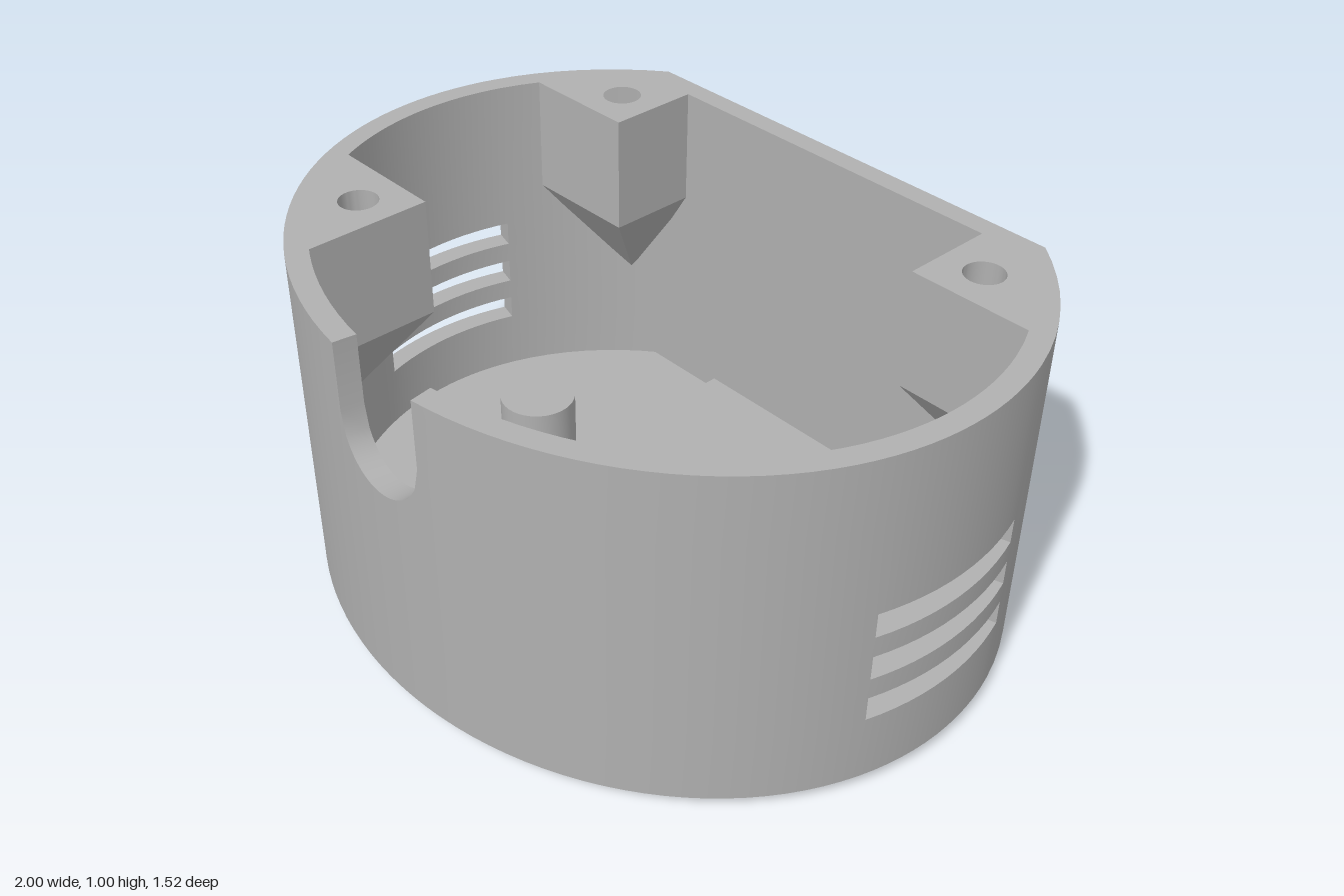
import * as THREE from 'three';
import { toCreasedNormals } from 'three/addons/utils/BufferGeometryUtils.js';
import { ConvexGeometry } from 'three/addons/geometries/ConvexGeometry.js';

const ZC = -0.11, A = 1, B = 0.87, FLAT = 0.65, WALL = 0.06; // oval outline cut by a flat back
const END = Math.acos(-FLAT / B);      // angle where the oval meets the flat back
const BACK_X = Math.sin(END);          // half width of the flat back

// point on the oval, inset by d, angle measured from the front towards +x
const oval = (phi, y, d) => [(A - d) * Math.sin(phi), y, ZC + (B - d) * Math.cos(phi)];

function quadGeometry(quads) {
  const geo = new THREE.BufferGeometry();
  const pos = quads.flatMap(([a, b, c, d]) => [...a, ...b, ...c, ...a, ...c, ...d]);
  geo.setAttribute('position', new THREE.Float32BufferAttribute(pos, 3));
  geo.computeVertexNormals();
  return geo;
}

// shape drawn in (x, -z), raised from y0 to y1
function extrudeUp(shape, y0, y1) {
  return new THREE.ExtrudeGeometry(shape, { depth: y1 - y0, bevelEnabled: false, curveSegments: 24 })
    .rotateX(-Math.PI / 2).translate(0, y0, 0);
}

const circlePath = (x, z, r) => new THREE.Path().absarc(x, -z, r, 0, Math.PI * 2, true);

// curved wall: a bent grid of cells, with the vent and notch cells left out
function wallGeometry() {
  const notchR = 0.147, notchY = 0.812;
  const notchA = Math.asin(notchR);
  const ventA = Math.acos(0.24 / B), ventB = Math.acos(-0.24 / B);
  const stops = [[-END, 0], [-ventB, 8], [-ventA, 12], [-notchA, 22], [notchA, 20], [ventA, 22], [ventB, 12], [END, 8]];
  const cols = [stops[0][0]];
  for (let s = 1; s < stops.length; s++) {
    const [from, to, n] = [stops[s - 1][0], ...stops[s]];
    for (let k = 1; k <= n; k++) cols.push(from + (to - from) * k / n);
  }
  const rows = [0.04, 0.23, 0.30, 0.36, 0.43, 0.49, 0.56, null, 1];
  const height = (phi, j) => rows[j] ??
    notchY - Math.sqrt(Math.max(0, notchR ** 2 - Math.sin(phi) ** 2)) * (Math.abs(phi) < 1 ? 1 : 0);
  const solid = (i, j) => {
    if (i < 0 || j < 0 || i >= cols.length - 1 || j >= rows.length - 1) return false;
    const mid = Math.abs(cols[i] + cols[i + 1]) / 2;
    if (j === 7 && mid < notchA) return false;
    return !(mid > ventA && mid < ventB && [1, 3, 5].includes(j));
  };
  const out = (i, j) => oval(cols[i], height(cols[i], j), 0);
  const inn = (i, j) => oval(cols[i], height(cols[i], j), WALL);
  const quads = [];
  for (let i = 0; i < cols.length - 1; i++) {
    for (let j = 0; j < rows.length - 1; j++) {
      if (!solid(i, j)) continue;
      const I = i + 1, J = j + 1;
      quads.push([out(i, j), out(I, j), out(I, J), out(i, J)]);
      quads.push([inn(I, j), inn(i, j), inn(i, J), inn(I, J)]);
      if (!solid(i, J)) quads.push([out(i, J), out(I, J), inn(I, J), inn(i, J)]);
      if (!solid(i, j - 1)) quads.push([out(I, j), out(i, j), inn(i, j), inn(I, j)]);
      if (!solid(I, j)) quads.push([out(I, j), inn(I, j), inn(I, J), out(I, J)]);
      if (!solid(i - 1, j)) quads.push([inn(i, j), out(i, j), out(i, J), inn(i, J)]);
    }
  }
  return quadGeometry(quads);
}

// closed outline of the whole case, inset by d
function outline(d, y) {
  const end = Math.acos((-FLAT + d) / (B - d)), n = 104;
  return Array.from({ length: n + 1 }, (_, k) => oval(-end + 2 * end * k / n, y, d));
}

export function createModel() {
  const group = new THREE.Group();
  const grey = new THREE.MeshStandardMaterial({ color: 0xb0b0b0 });
  grey.name = 'grey plastic';
  const add = (name, geo) => {
    const mesh = new THREE.Mesh(toCreasedNormals(geo, 0.5), grey);
    mesh.name = name;
    group.add(mesh);
  };

  add('curvedWall', wallGeometry());

  // chamfer around the foot
  const low = outline(0.04, 0), high = outline(0, 0.04);
  add('footChamfer', quadGeometry(low.map((p, k) => {
    const n = (k + 1) % low.length;
    return [p, low[n], high[n], high[k]];
  })));

  // floor with the large bore and two screw holes
  const bossX = 0.508;
  const floor = new THREE.Shape(low.map(([x, , z]) => new THREE.Vector2(x, -z)));
  floor.holes.push(circlePath(0, ZC, 0.218), circlePath(bossX, ZC, 0.05), circlePath(-bossX, ZC, 0.05));
  add('floor', extrudeUp(floor, 0, 0.06));

  // bosses on the floor, hollow from below
  const bossProfile = [[0, 0.2], [0.05, 0.2], [0.05, 0.05], [0.108, 0.05], [0.108, 0.25], [0, 0.25]]
    .map(([r, y]) => new THREE.Vector2(r, y));
  for (const s of [-1, 1]) {
    add(s > 0 ? 'leftBoss' : 'rightBoss',
      new THREE.LatheGeometry(bossProfile, 40).translate(s * bossX, 0, ZC));
  }

  // flat back: a frame around a shallow rounded recess, and the panel behind it
  const frame = new THREE.Shape([[-1, 0.04], [1, 0.04], [1, 1], [-1, 1]]
    .map(([x, y]) => new THREE.Vector2(x * BACK_X, y)));
  const rx = 0.61, y0 = 0.12, y1 = 0.88, r = 0.13;
  const recess = new THREE.Path();
  recess.absarc(rx - r, y1 - r, r, 0, Math.PI / 2);
  recess.absarc(-rx + r, y1 - r, r, Math.PI / 2, Math.PI);
  recess.absarc(-rx + r, y0 + r, r, Math.PI, Math.PI * 1.5);
  recess.absarc(rx - r, y0 + r, r, Math.PI * 1.5, Math.PI * 2);
  recess.closePath();
  frame.holes.push(recess);
  add('backFrame', new THREE.ExtrudeGeometry(frame, { depth: 0.03, bevelEnabled: false, curveSegments: 10 })
    .translate(0, 0, ZC - FLAT));
  add('backPanel', new THREE.BoxGeometry(BACK_X * 2, 0.96, 0.03).translate(0, 0.52, -0.715));

  // corner screw posts, each tapering to a point on the wall
  const postY = 0.67, inX = 0.52, inZ = 0.327, d = 0.05;
  const arc = (from, to) => Array.from({ length: 9 }, (_, k) => {
    const t = from + (to - from) * k / 8;
    return [(A - d) * Math.sin(t), (B - d) * Math.cos(t)];
  });
  const sideAngle = Math.acos(inZ / (B - d));
  const frontAngle = Math.asin(inX / (A - d));
  const backAngle = Math.acos(0.61 / (B - d));
  for (const sx of [-1, 1]) {
    for (const sz of [-1, 1]) {
      const ring = [[inX, inZ], ...arc(sideAngle, sz > 0 ? frontAngle : backAngle)];
      if (sz < 0) ring.push([inX, 0.61]);
      const pts = ring.map(([x, z]) => [sx * x, ZC + sz * z]);
      const name = (sz > 0 ? 'front' : 'back') + (sx > 0 ? 'Left' : 'Right');
      const shape = new THREE.Shape(pts.map(([x, z]) => new THREE.Vector2(x, -z)));
      shape.holes.push(circlePath(sx * 0.64, ZC + sz * 0.448, 0.053));
      add(name + 'Post', extrudeUp(shape, postY, 1));
      const hull = pts.map(([x, z]) => new THREE.Vector3(x, postY, z));
      hull.push(new THREE.Vector3(sx * 0.705, 0.37, ZC + sz * 0.545));
      add(name + 'PostTaper', new ConvexGeometry(hull));
    }
  }
  return group;
}
